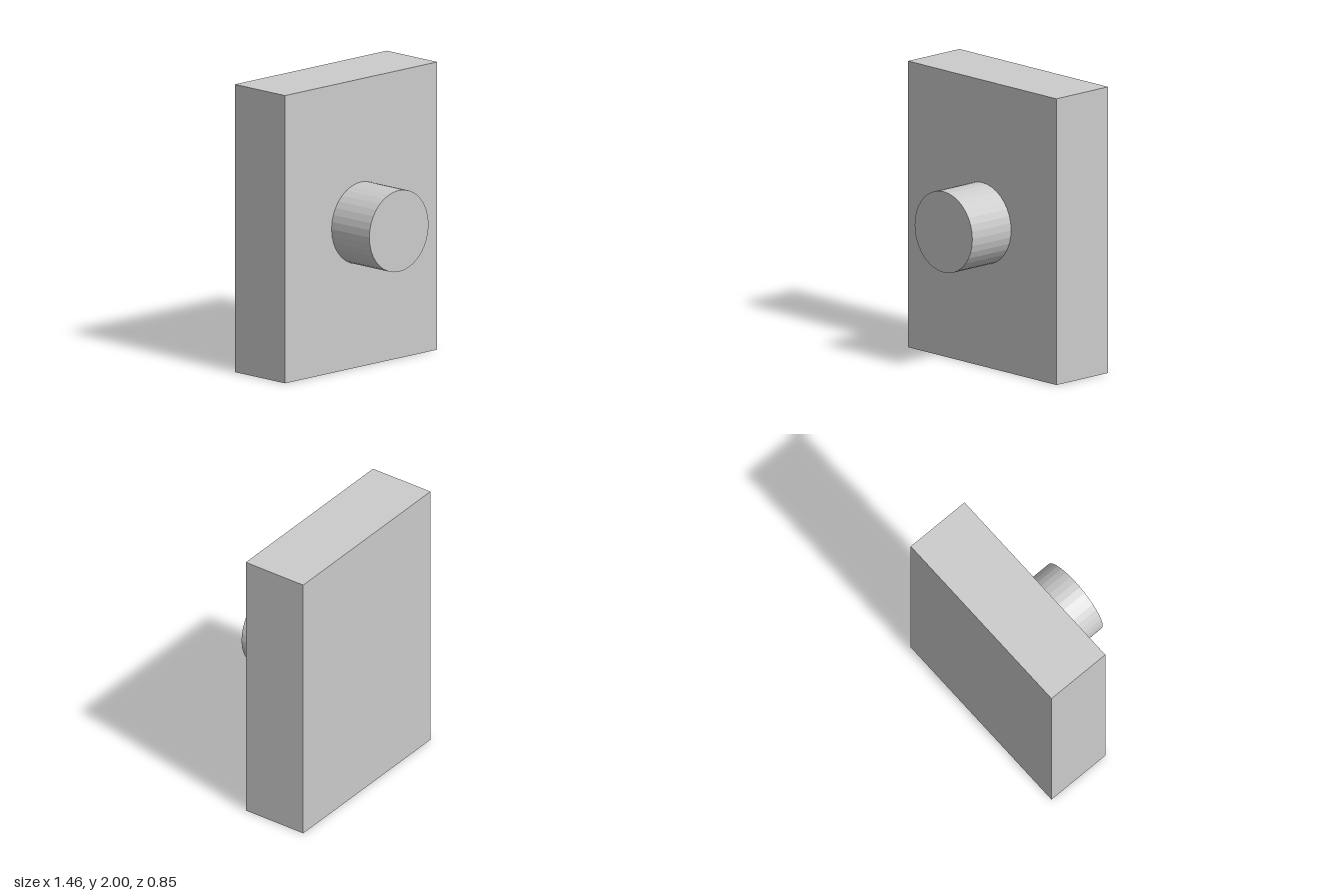
import * as THREE from 'three';

const BACK = -0.423, FACE = 0.06, TIP = 0.423;

export function createModel() {
  const model = new THREE.Group();
  const material = new THREE.MeshStandardMaterial({ color: 0xcccccc, flatShading: true });

  const add = (name, geometry, y, zBack, zFront) => {
    const mesh = new THREE.Mesh(geometry, material);
    mesh.name = name;
    mesh.position.set(0, y, (zBack + zFront) / 2);
    model.add(mesh);
  };

  // Upright slab
  add('slab', new THREE.BoxGeometry(1.455, 2, FACE - BACK), 1, BACK, FACE);

  // Round faceted knob, its axis pointing forward
  const knob = new THREE.CylinderGeometry(0.283, 0.283, TIP - FACE, 36).rotateX(Math.PI / 2);
  add('knob', knob, 1, FACE, TIP);

  return model;
}
